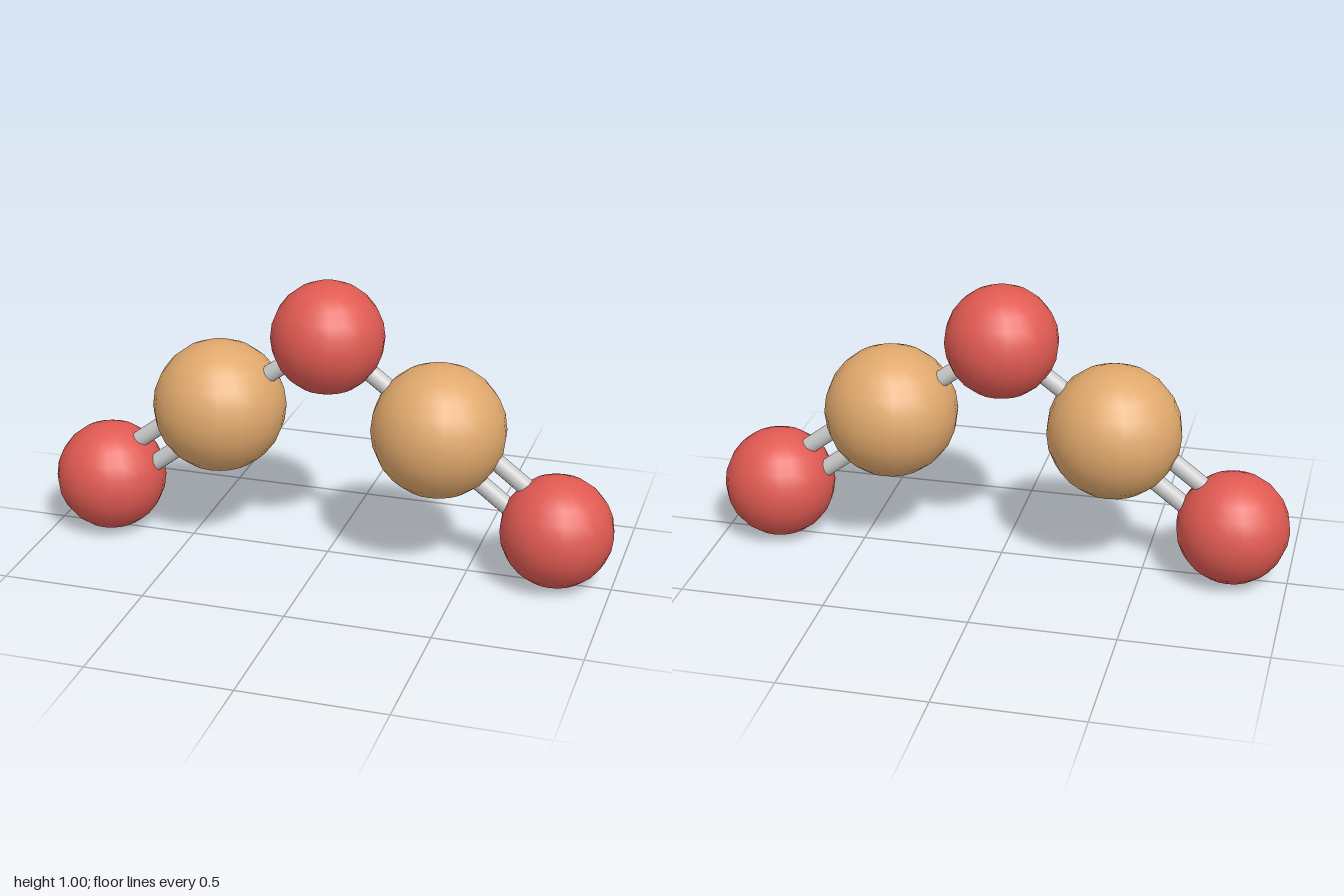
import * as THREE from 'three';

export function createModel() {
  const model = new THREE.Group();
  model.name = 'ballAndStickMolecule';

  const material = (name, color) => {
    const m = new THREE.MeshStandardMaterial({ color });
    m.name = name;
    return m;
  };
  const red = material('red', 0xe05a52);
  const tan = material('tan', 0xe0a86c);
  const grey = material('grey', 0xcccccc);

  const redBall = new THREE.SphereGeometry(0.194, 20, 12);
  const tanBall = new THREE.SphereGeometry(0.231, 20, 12);

  const addBall = (name, geometry, mat, position) => {
    const ball = new THREE.Mesh(geometry, mat);
    ball.name = name;
    ball.position.copy(position);
    model.add(ball);
  };

  // Rod between two ball centres, shifted sideways within the xy plane
  const addRod = (name, from, to, offset = 0) => {
    const dir = to.clone().sub(from);
    const length = dir.length();
    dir.normalize();
    const rod = new THREE.Mesh(new THREE.CylinderGeometry(0.03, 0.03, length, 16), grey);
    rod.name = name;
    rod.quaternion.setFromUnitVectors(new THREE.Vector3(0, 1, 0), dir);
    rod.position.copy(from).add(to).multiplyScalar(0.5);
    rod.position.add(new THREE.Vector3(-dir.y, dir.x, 0).multiplyScalar(offset));
    model.add(rod);
  };

  const top = new THREE.Vector3(0, 0.806, 0);
  addBall('topBall', redBall, red, top);

  // Mirrored arms: single rod to the middle ball, double rod to the end ball
  for (const [side, s] of [['left', 1], ['right', -1]]) {
    const middle = new THREE.Vector3(s * 0.39, 0.515, 0);
    const end = new THREE.Vector3(s * 0.806, 0.198, 0);
    addBall(side + 'MiddleBall', tanBall, tan, middle);
    addBall(side + 'EndBall', redBall, red, end);
    addRod(side + 'SingleRod', top, middle);
    addRod(side + 'UpperDoubleRod', middle, end, s * 0.05);
    addRod(side + 'LowerDoubleRod', middle, end, s * -0.05);
  }
  return model;
}
